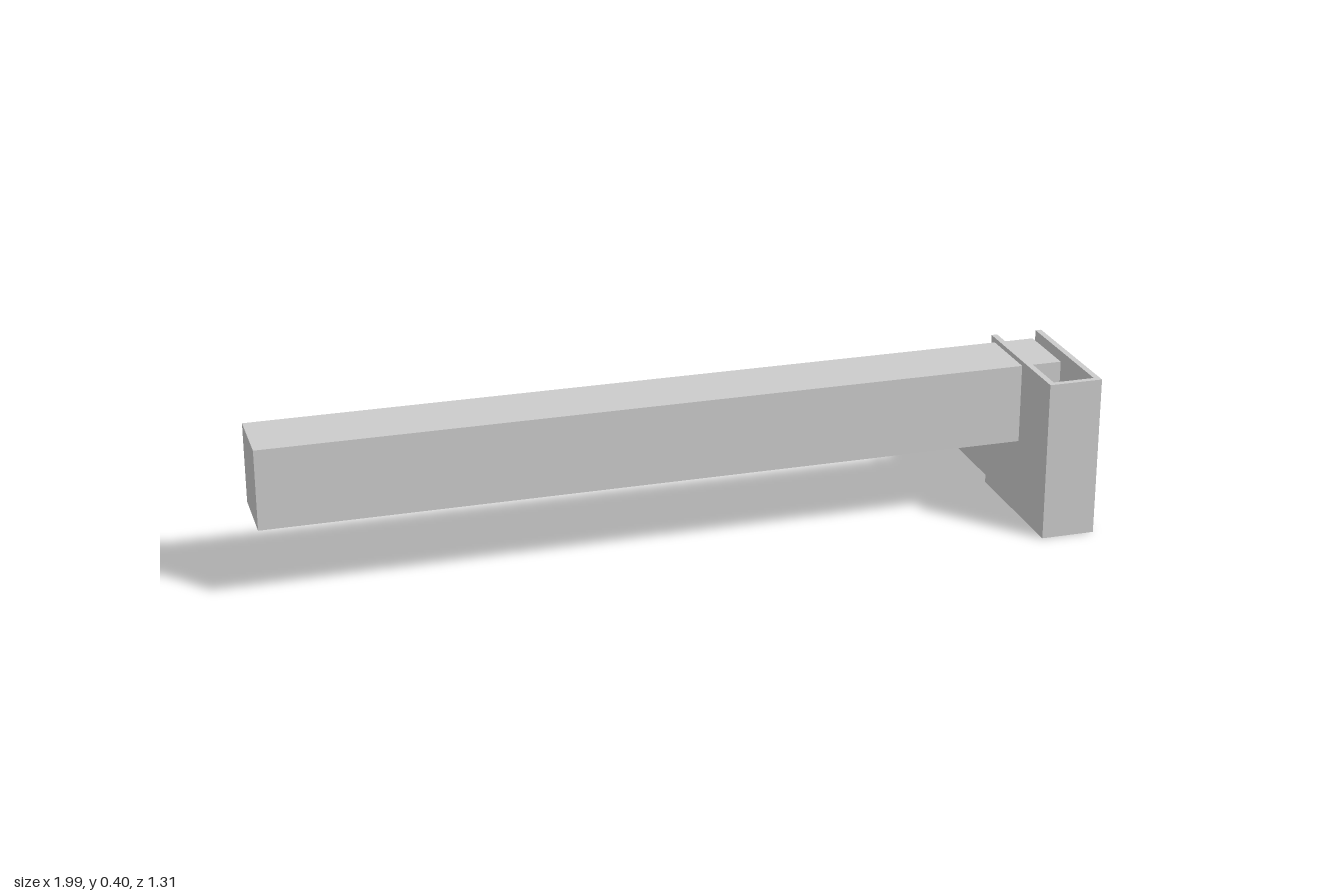
import * as THREE from 'three';

const material = new THREE.MeshStandardMaterial({ color: 0xcccccc, flatShading: true });

// Box given by its limits along x, y and z
function block(name, [x0, x1], [y0, y1], [z0, z1]) {
  const mesh = new THREE.Mesh(new THREE.BoxGeometry(x1 - x0, y1 - y0, z1 - z0), material);
  mesh.position.set((x0 + x1) / 2, (y0 + y1) / 2, (z0 + z1) / 2);
  mesh.name = name;
  return mesh;
}

// Side profile of (z, y) points extruded from x0 to x1
function slab(name, x0, x1, points) {
  const shape = new THREE.Shape(points.map(([z, y]) => new THREE.Vector2(z, y)));
  const geometry = new THREE.ExtrudeGeometry(shape, { depth: x1 - x0, bevelEnabled: false });
  geometry.rotateY(-Math.PI / 2).translate(x1, 0, 0);
  const mesh = new THREE.Mesh(geometry, material);
  mesh.name = name;
  return mesh;
}

export function createModel() {
  const model = new THREE.Group();
  model.name = 'beamInBracket';
  model.rotation.y = 0.377;

  const wall = 0.015;
  const back = 0.066, front = 0.43, tip = -0.353;

  // Long beam resting in the bracket
  model.add(block('beam', [-1.11, 0.868], [0.19, 0.388], [0.088, 0.261]));

  // Bracket: open-topped box with two side walls, a front wall and a floor
  const bracket = new THREE.Group();
  bracket.name = 'bracket';
  const x0 = 0.766, x1 = 0.9;
  bracket.add(
    block('bracketRightWall', [x0, x0 + wall], [0, 0.4], [back, front]),
    block('bracketLeftWall', [x1 - wall, x1], [0, 0.4], [back, front]),
    block('bracketFrontWall', [x0 + wall, x1 - wall], [0, 0.4], [front - wall, front]),
    block('bracketFloor', [x0 + wall, x1 - wall], [0, 0.03], [back, front - wall]),
  );
  model.add(bracket);

  // Sloping chute behind the bracket: two tapered walls and a wedge floor
  const chute = new THREE.Group();
  chute.name = 'chute';
  const c0 = 0.785, c1 = 0.893;
  const side = [[tip, 0], [back, 0], [back, 0.36], [tip, 0.12]];
  const wedge = [[tip, 0], [back, 0], [back, 0.27], [tip, 0.03]];
  chute.add(
    slab('chuteRightWall', c0, c0 + wall, side),
    slab('chuteLeftWall', c1 - wall, c1, side),
    slab('chuteFloor', c0 + wall, c1 - wall, wedge),
  );
  model.add(chute);

  const root = new THREE.Group();
  root.add(model);
  return root;
}
